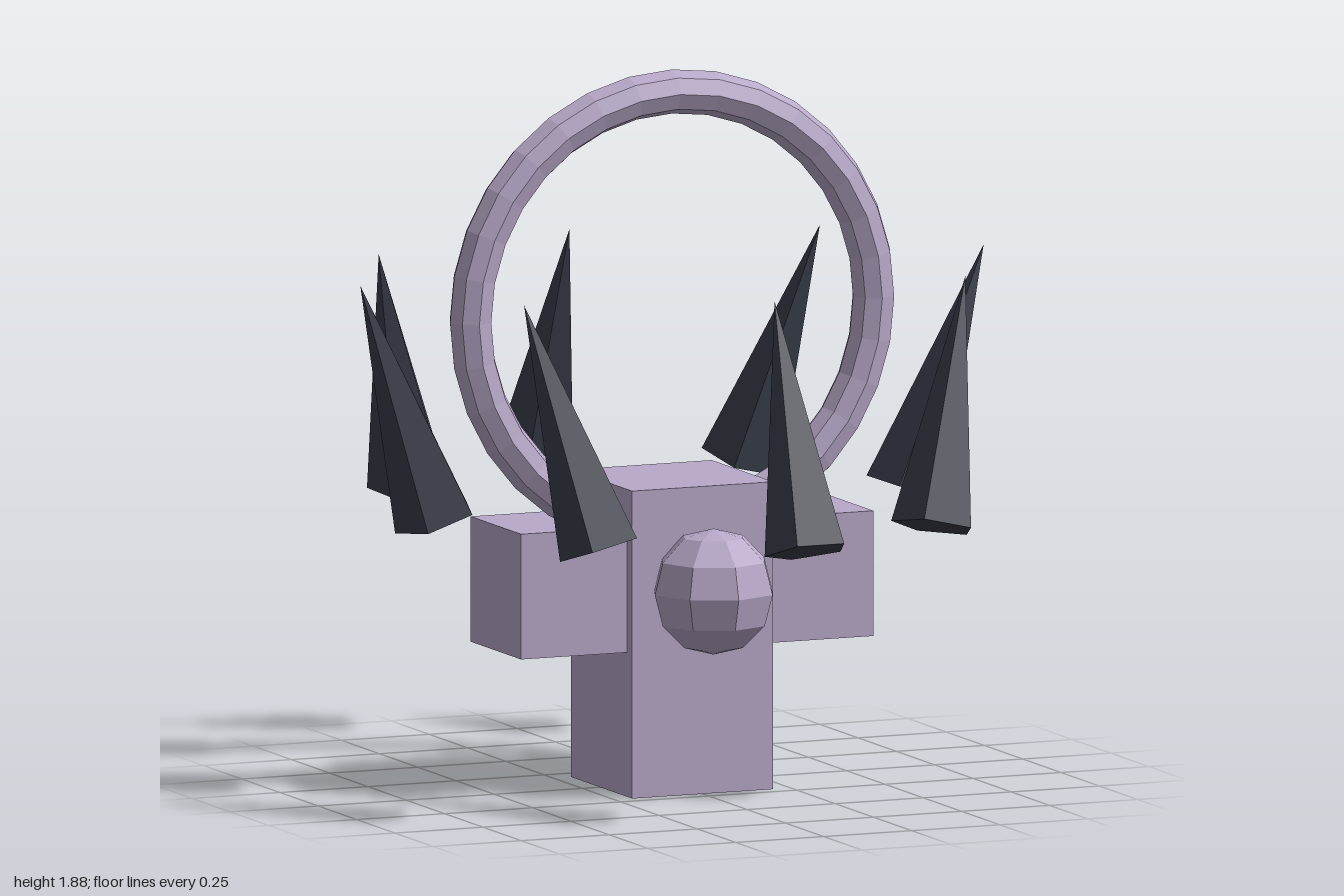
import * as THREE from 'three';

export function createModel() {
  const model = new THREE.Group();
  const lilac = new THREE.MeshStandardMaterial({ color: 0xb8a9c9, flatShading: true });
  lilac.name = 'lilac';
  const charcoal = new THREE.MeshStandardMaterial({ color: 0x3a3f4b, flatShading: true });
  charcoal.name = 'charcoal';
  const midZ = 0.01;

  const add = (name, geometry, material, x, y, z) => {
    const mesh = new THREE.Mesh(geometry, material);
    mesh.name = name;
    mesh.position.set(x, y, z);
    model.add(mesh);
    return mesh;
  };

  // Upright block with a cube at each side
  add('body', new THREE.BoxGeometry(0.4, 0.81, 0.4), lilac, 0, 0.405, midZ);
  for (const side of [-1, 1]) {
    add(side > 0 ? 'leftArm' : 'rightArm', new THREE.BoxGeometry(0.33, 0.33, 0.33),
      lilac, side * 0.335, 0.545, midZ);
  }

  // Faceted ball on the front
  add('frontBall', new THREE.SphereGeometry(0.166, 8, 6), lilac, 0, 0.543, 0.28);

  // Large upright ring
  add('ring', new THREE.TorusGeometry(0.572, 0.058, 8, 32), lilac, 0, 1.25, midZ);

  // Eight five-sided spikes: tips lean outwards in x and inwards in z
  const spikeShape = new THREE.ConeGeometry(0.113, 0.665, 5).rotateY(Math.PI);
  const tilt = 0.33;
  for (let i = 0; i < 8; i++) {
    const a = (i * Math.PI) / 4;
    const spike = add('spike' + (i + 1), spikeShape, charcoal,
      Math.cos(a) * 0.777, 1.05, midZ + Math.sin(a) * 0.777);
    spike.rotation.set(-Math.sin(a) * tilt, 0, -Math.cos(a) * tilt);
  }
  return model;
}
